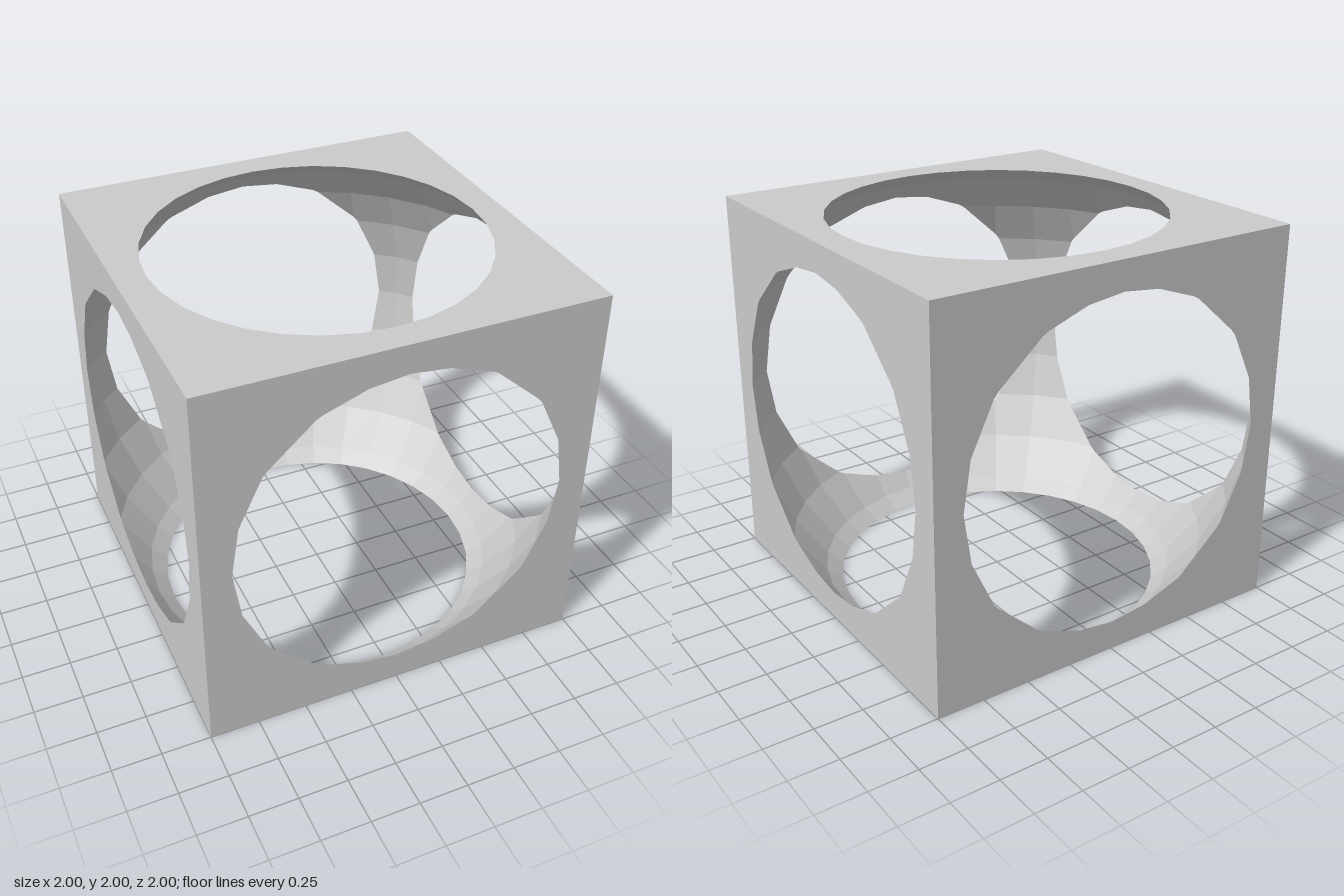
import * as THREE from 'three';

const RADIUS = 1.3186, SEGMENTS = 32, RINGS = 16;

// Point of the faceted sphere that hollows out the cube
function spherePoint(i, j) {
  return new THREE.Vector3().setFromSphericalCoords(
    RADIUS, (Math.PI * j) / RINGS, (2 * Math.PI * i) / SEGMENTS);
}

// Keep the part of a convex polygon where side * p[axis] <= 1
function clip(polygon, axis, side) {
  const out = [];
  polygon.forEach((a, k) => {
    const b = polygon[(k + 1) % polygon.length];
    const da = 1 - side * a[axis], db = 1 - side * b[axis];
    if (da >= 0) out.push(a);
    if (da * db < 0) {
      const p = a.clone().lerp(b, da / (da - db));
      p[axis] = side;
      out.push(p);
    }
  });
  return out;
}

// Sphere facets cut off at the six cube faces, facing inward
function hollowPolygons() {
  const polygons = [];
  for (let j = 0; j < RINGS; j++) {
    for (let i = 0; i < SEGMENTS; i++) {
      let polygon = [
        spherePoint(i, j), spherePoint(i + 1, j),
        spherePoint(i + 1, j + 1), spherePoint(i, j + 1),
      ];
      for (const axis of ['x', 'y', 'z'])
        for (const side of [1, -1]) polygon = clip(polygon, axis, side);
      if (polygon.length > 2) polygons.push(polygon);
    }
  }
  return polygons;
}

// Outline of the opening in the face where p[axis] = 1, in order round its centre
function openingOutline(polygons, axis, u, v) {
  const points = polygons.flat()
    .filter((p) => Math.abs(p[axis] - 1) < 1e-9)
    .map((p) => new THREE.Vector2(p[u], p[v]))
    .sort((a, b) => a.angle() - b.angle());
  return points.filter((p, k) => p.distanceTo(points.at(k - 1)) > 1e-5);
}

// Square plate pierced by the opening, lying at z = 1
function faceGeometry(outline) {
  const square = new THREE.Shape([[-1, -1], [1, -1], [1, 1], [-1, 1]]
    .map(([x, y]) => new THREE.Vector2(x, y)));
  square.holes.push(new THREE.Path(outline));
  return new THREE.ShapeGeometry(square).translate(0, 0, 1);
}

export function createModel() {
  const group = new THREE.Group();
  group.name = 'hollowCube';
  const material = new THREE.MeshStandardMaterial({ color: 0xcccccc, flatShading: true });
  const add = (name, geometry) => {
    const mesh = new THREE.Mesh(geometry, material);
    mesh.name = name;
    mesh.position.y = 1;
    group.add(mesh);
    return mesh;
  };

  // Spherical hollow, each clipped facet as a triangle fan
  const polygons = hollowPolygons();
  const corners = [];
  for (const p of polygons)
    for (let k = 1; k < p.length - 1; k++) corners.push(p[0], p[k], p[k + 1]);
  const hollow = new THREE.BufferGeometry().setFromPoints(corners);
  hollow.computeVertexNormals();
  add('sphericalHollow', hollow);

  // Four side faces
  const side = faceGeometry(openingOutline(polygons, 'z', 'x', 'y'));
  ['frontFace', 'leftFace', 'backFace', 'rightFace'].forEach((name, k) => {
    add(name, side).rotation.y = (k * Math.PI) / 2;
  });

  // Top and bottom faces
  const cap = faceGeometry(openingOutline(polygons, 'y', 'x', 'z'));
  add('topFace', cap).rotation.x = -Math.PI / 2;
  add('bottomFace', cap).rotation.x = Math.PI / 2;

  return group;
}
